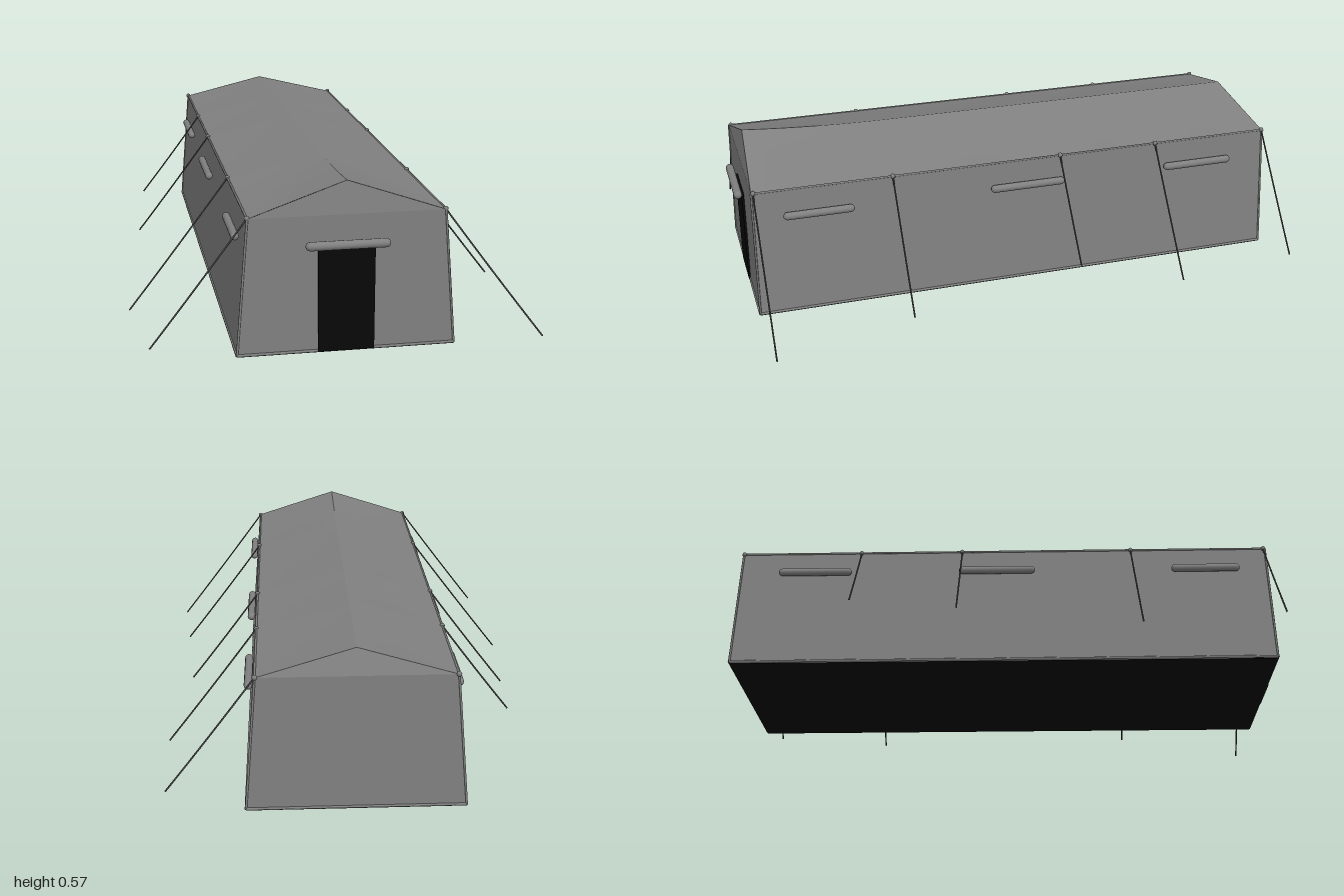
import * as THREE from 'three';

const canvas = new THREE.MeshStandardMaterial({ color: 0x808080, side: THREE.DoubleSide });
canvas.name = 'greyCanvas';
const black = new THREE.MeshStandardMaterial({ color: 0x080808, side: THREE.DoubleSide });
black.name = 'blackOpening';
const cord = new THREE.MeshStandardMaterial({ color: 0x4a4a4a });
cord.name = 'darkCord';

const BASE_Y = 0.015, EAVE_Y = 0.468;
const BASE_X = 0.358, EAVE_X = 0.321;
const FRONT = { base: 0.957, eave: 0.952, ridge: 0.935 };
const BACK = { base: -0.994, eave: -0.987, ridge: -0.955 };
const RIBS = [0.945, 0.455, -0.17, -0.545, -0.985];

const V = (x, y, z) => new THREE.Vector3(x, y, z);

// Smooth sheet from a function of u and v in 0..1
function sheet(fn, nu, nv) {
  const pos = [], idx = [];
  for (let i = 0; i <= nu; i++)
    for (let j = 0; j <= nv; j++) pos.push(...fn(i / nu, j / nv).toArray());
  for (let i = 0; i < nu; i++)
    for (let j = 0; j < nv; j++) {
      const a = i * (nv + 1) + j, b = a + nv + 1;
      idx.push(a, b, a + 1, b, b + 1, a + 1);
    }
  const g = new THREE.BufferGeometry();
  g.setAttribute('position', new THREE.Float32BufferAttribute(pos, 3));
  g.setIndex(idx);
  g.computeVertexNormals();
  return g;
}

// Flat panel with its corners in counter-clockwise order
function panel(points) {
  const g = new THREE.BufferGeometry().setFromPoints(points);
  const idx = [];
  for (let i = 1; i < points.length - 1; i++) idx.push(0, i, i + 1);
  g.setIndex(idx);
  g.computeVertexNormals();
  return g;
}

function rod(a, b, r) {
  return new THREE.TubeGeometry(new THREE.LineCurve3(a, b), 1, r, 6, false);
}

// Ridge line: tallest at the front, level further back
function ridgeY(z) {
  const t = Math.max(0, (z - 0.4) / (FRONT.ridge - 0.4));
  return 0.552 + 0.023 * t * t;
}

// Slight dip of the cloth between neighbouring ribs
function sag(z) {
  for (let i = 0; i < RIBS.length - 1; i++)
    if (z <= RIBS[i] && z >= RIBS[i + 1])
      return Math.sin(Math.PI * (RIBS[i] - z) / (RIBS[i] - RIBS[i + 1]));
  return 0;
}

export function createModel() {
  const group = new THREE.Group();
  const add = (name, geo, mat = canvas) => {
    const m = new THREE.Mesh(geo, mat);
    m.name = name;
    group.add(m);
    return m;
  };

  for (const s of [-1, 1]) {
    const side = s > 0 ? 'left' : 'right';

    // Roof slope
    add(side + 'RoofSlope', sheet((u, v) => {
      const k = s > 0 ? v : 1 - v;
      const zf = THREE.MathUtils.lerp(FRONT.ridge, FRONT.eave, k);
      const zb = THREE.MathUtils.lerp(BACK.ridge, BACK.eave, k);
      const z = THREE.MathUtils.lerp(zb, zf, 1 - u);
      const dip = 0.004 * sag(z) * Math.sin(Math.PI * k);
      return V(s * EAVE_X * k, THREE.MathUtils.lerp(ridgeY(z), EAVE_Y, k) - dip, z);
    }, 48, 6));

    // Side wall
    const corners = [V(s * BASE_X, BASE_Y, FRONT.base), V(s * BASE_X, BASE_Y, BACK.base),
      V(s * EAVE_X, EAVE_Y, BACK.eave), V(s * EAVE_X, EAVE_Y, FRONT.eave)];
    add(side + 'Wall', panel(s > 0 ? corners : [...corners].reverse()));

    // Piping on the eave and corners, hem along the ground
    add(side + 'EavePiping', rod(corners[3], corners[2], 0.004));
    add(side + 'FrontCorner', rod(corners[0], corners[3], 0.004));
    add(side + 'BackCorner', rod(corners[1], corners[2], 0.004));
    add(side + 'Hem', rod(corners[0], corners[1], 0.005));

    // Rolled window covers
    [[0.725, 0.25], [-0.04, 0.28], [-0.71, 0.27]].forEach(([z, len]) => {
      const roll = add(side + 'WindowRoll', new THREE.CapsuleGeometry(0.014, len - 0.028, 4, 12));
      roll.rotation.x = Math.PI / 2;
      roll.position.set(s * 0.346, 0.378, z);
    });

    // Guy ropes, each reaching its own distance out along one slope
    const reach = s > 0 ? [0.67, 0.625, 0.57, 0.635, 0.615] : [0.635, 0.675, 0.6, 0.56];
    reach.forEach((x, i) => {
      const z = RIBS[i];
      const y = Math.max(0.004, EAVE_Y - (x - EAVE_X) * 1.32);
      const top = V(s * EAVE_X, EAVE_Y, z);
      const end = V(s * x, y, z + (i === 1 ? 0.005 : 0));
      const mid = top.clone().lerp(end, 0.5).add(V(0, -0.006, 0));
      const curve = new THREE.QuadraticBezierCurve3(top, mid, end);
      add(side + 'GuyRope', new THREE.TubeGeometry(curve, 8, 0.003, 5), cord);
    });

    // Rope knots at the eave
    RIBS.forEach(z => {
      const knot = add(side + 'EaveKnot', new THREE.SphereGeometry(0.009, 8, 6));
      knot.position.set(s * EAVE_X, EAVE_Y, z);
    });
  }

  // End walls with gables leaning in towards the ridge
  for (const [name, e, s] of [['front', FRONT, 1], ['back', BACK, -1]]) {
    add(name + 'Wall', panel([V(-s * BASE_X, BASE_Y, e.base), V(s * BASE_X, BASE_Y, e.base),
      V(s * EAVE_X, EAVE_Y, e.eave), V(-s * EAVE_X, EAVE_Y, e.eave)]));
    add(name + 'Gable', panel([V(-s * EAVE_X, EAVE_Y, e.eave), V(s * EAVE_X, EAVE_Y, e.eave),
      V(0, ridgeY(e.ridge), e.ridge)]));
    add(name + 'Hem', rod(V(-BASE_X, BASE_Y, e.base), V(BASE_X, BASE_Y, e.base), 0.005));
  }

  // Floor
  add('floor', panel([V(-BASE_X, BASE_Y - 0.006, BACK.base), V(BASE_X, BASE_Y - 0.006, BACK.base),
    V(BASE_X, BASE_Y - 0.006, FRONT.base), V(-BASE_X, BASE_Y - 0.006, FRONT.base)]), black);

  // Doorway and the rolled door above it
  const door = add('doorway', new THREE.BoxGeometry(0.185, 0.35, 0.008), black);
  door.position.set(-0.003, 0.188, 0.959);
  const roll = add('doorRoll', new THREE.CapsuleGeometry(0.015, 0.245, 4, 12));
  roll.rotation.z = Math.PI / 2;
  roll.position.set(-0.003, 0.376, 0.979);

  return group;
}
